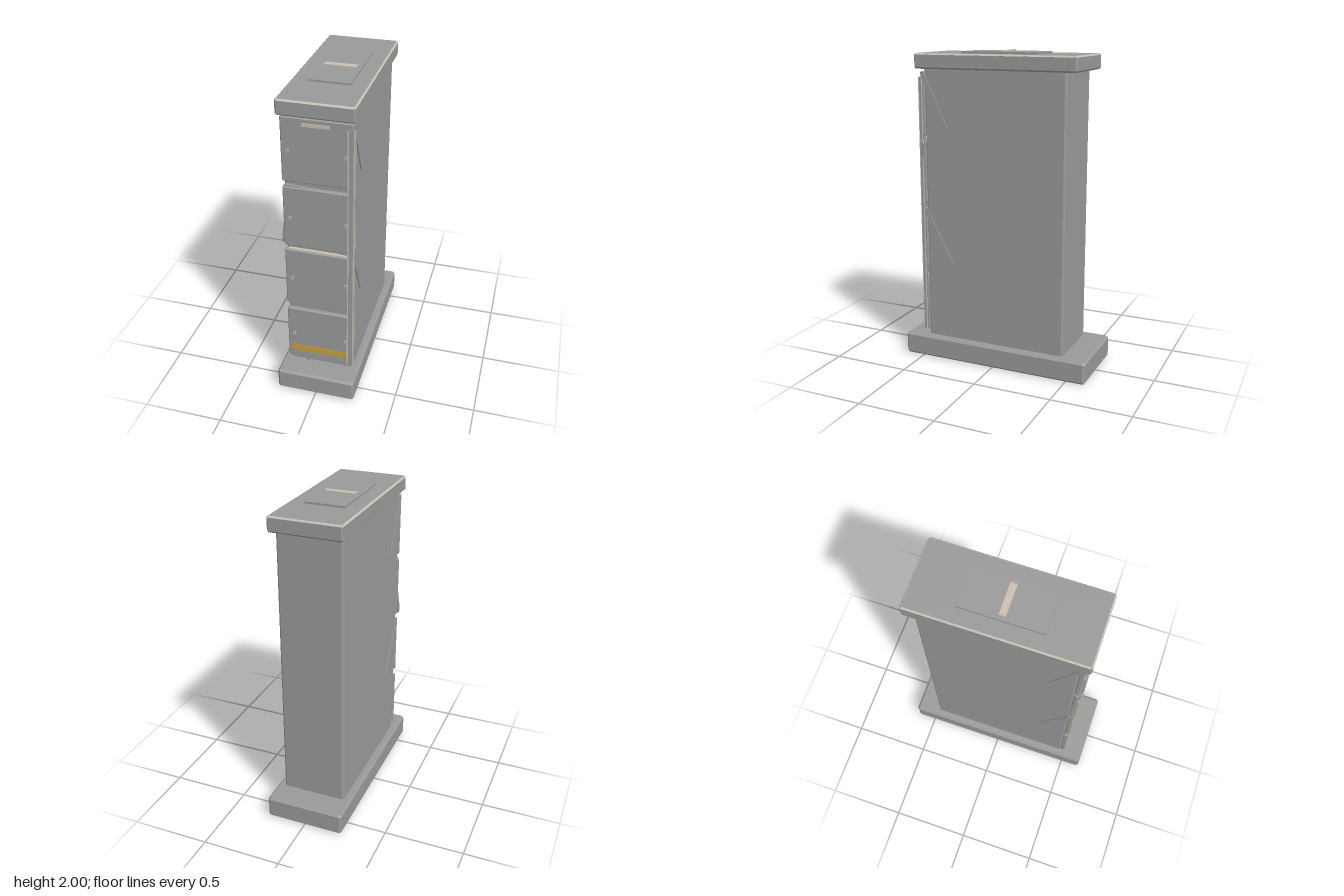
import * as THREE from 'three';
import { ConvexGeometry } from 'three/addons/geometries/ConvexGeometry.js';

const mat = (name, color) => {
  const m = new THREE.MeshStandardMaterial({ color });
  m.name = name;
  return m;
};

export function createModel() {
  const grey = mat('grey', 0x999999);
  const tan = mat('tan', 0xc8beb0);
  const gold = mat('gold', 0xc9a03a);
  const pale = mat('paleGrey', 0xacaaa6);
  const model = new THREE.Group();
  model.name = 'cabinet';

  const add = (name, geo, material, parent = model) => {
    const mesh = new THREE.Mesh(geo, material);
    mesh.name = name;
    parent.add(mesh);
    return mesh;
  };

  // Plain box given by its minimum and maximum on each axis
  const box = (name, x0, x1, y0, y1, z0, z1, material, parent) => {
    const mesh = add(name, new THREE.BoxGeometry(x1 - x0, y1 - y0, z1 - z0), material, parent);
    mesh.position.set((x0 + x1) / 2, (y0 + y1) / 2, (z0 + z1) / 2);
    return mesh;
  };

  // Box with chamfer c along every edge
  const chamferBox = (name, x0, x1, y0, y1, z0, z1, c, material, parent) => {
    const half = [(x1 - x0) / 2, (y1 - y0) / 2, (z1 - z0) / 2];
    const points = [];
    for (const sx of [-1, 1]) for (const sy of [-1, 1]) for (const sz of [-1, 1])
      for (let axis = 0; axis < 3; axis++) {
        const h = half.map((v, i) => (i === axis ? v : v - c));
        points.push(new THREE.Vector3(sx * h[0], sy * h[1], sz * h[2]));
      }
    const mesh = add(name, new ConvexGeometry(points), material, parent);
    mesh.position.set((x0 + x1) / 2, (y0 + y1) / 2, (z0 + z1) / 2);
    return mesh;
  };

  // Main blocks
  chamferBox('base', -0.25, 0.25, 0, 0.145, -0.627, 0.627, 0.014, grey);
  chamferBox('body', -0.205, 0.205, 0.13, 1.9, -0.467, 0.473, 0.013, grey);
  chamferBox('cap', -0.225, 0.225, 1.885, 1.98, -0.532, 0.532, 0.01, grey);

  // Worn trim on the upper edges of the cap
  const capTrim = new THREE.Group();
  capTrim.name = 'capTrim';
  model.add(capTrim);
  for (const s of [-1, 1]) {
    const side = add('capSideTrim', new THREE.BoxGeometry(0.013, 0.002, 1.045), tan, capTrim);
    side.position.set(s * 0.22, 1.975, 0);
    side.rotation.z = -s * Math.PI / 4;
    const end = add('capEndTrim', new THREE.BoxGeometry(0.43, 0.002, 0.013), tan, capTrim);
    end.position.set(0, 1.975, s * 0.527);
    end.rotation.x = s * Math.PI / 4;
  }

  // Hatch and handle on top
  box('topHatch', -0.125, 0.125, 1.975, 1.992, -0.25, 0.25, grey);
  box('topHandle', -0.1, 0.1, 1.99, 1.998, -0.02, 0.02, tan);
  for (const x of [-0.1, 0.1]) box('handlePin', x - 0.006, x + 0.006, 1.99, 2, -0.009, 0.009, pale);

  // Four front panels with a bolt at each side
  const rows = [[0.175, 0.565], [0.605, 1.005], [1.035, 1.435], [1.47, 1.87]];
  rows.forEach(([y0, y1], i) => {
    const panel = new THREE.Group();
    panel.name = 'frontPanel' + (i + 1);
    model.add(panel);
    chamferBox('panelPlate', -0.21, 0.207, y0, y1, 0.47, 0.5, 0.006, grey, panel);
    for (const x of [-0.168, 0.166]) {
      const bolt = add('bolt', new THREE.CylinderGeometry(0.012, 0.012, 0.02, 8), pale, panel);
      bolt.rotation.x = Math.PI / 2;
      bolt.position.set(x, (y0 + y1) / 2 - 0.003, 0.5);
    }
  });

  // Painted details on the panels
  box('nameSlot', -0.083, 0.077, 1.824, 1.844, 0.498, 0.505, tan);
  box('goldStripe', -0.185, 0.177, 0.23, 0.275, 0.498, 0.503, gold);

  // Bent, torn edges of the third panel
  const sliver = (name, points, material, z = 0.476, depth = 0.018) => {
    const shape = new THREE.Shape(points.map(([x, y]) => new THREE.Vector2(x, y)));
    const mesh = add(name, new THREE.ExtrudeGeometry(shape, { depth, bevelEnabled: false }), material);
    mesh.position.z = z;
  };
  sliver('leftTornEdge', [[-0.208, 1.05], [-0.208, 1.22], [-0.224, 1.1], [-0.224, 1.05]], grey);
  sliver('rightTornEdge', [[0.204, 1.26], [0.22, 1.36], [0.22, 1.42], [0.204, 1.42]], grey);
  sliver('upperTornEdge', [[-0.2, 1.433], [0, 1.433], [-0.2, 1.445]], grey);
  sliver('lowerTornEdge', [[0, 1.037], [0.19, 1.018], [0.19, 1.037]], grey);
  box('gapStrip', -0.19, 0.17, 1.004, 1.011, 0.474, 0.494, tan);

  // Locking bar down the front with pale worn edges
  box('lockBar', 0.176, 0.216, 0.18, 1.835, 0.483, 0.506, grey);
  for (const x of [0.176, 0.21]) box('lockBarEdge', x, x + 0.007, 0.182, 1.833, 0.503, 0.508, tan);
  box('lockBarSideEdge', 0.213, 0.218, 0.182, 1.833, 0.483, 0.488, tan);

  // Slanted stays on both sides
  for (const s of [-1, 1])
    for (const [y0, z0, y1, z1] of [[1.86, 0.485, 1.515, 0.32], [1.0, 0.48, 0.66, 0.298]]) {
      const stay = add('sideStay', new THREE.BoxGeometry(0.016, Math.hypot(y1 - y0, z1 - z0), 0.022), grey);
      stay.position.set(s * 0.204, (y0 + y1) / 2, (z0 + z1) / 2);
      stay.rotation.x = Math.atan2(z0 - z1, y0 - y1);
    }

  // Small loose pin under the lowest panel
  const pin = add('loosePin', new THREE.CylinderGeometry(0.006, 0.006, 0.045, 6), grey);
  pin.position.set(-0.08, 0.16, 0.485);
  pin.rotation.z = -0.6;

  return model;
}
